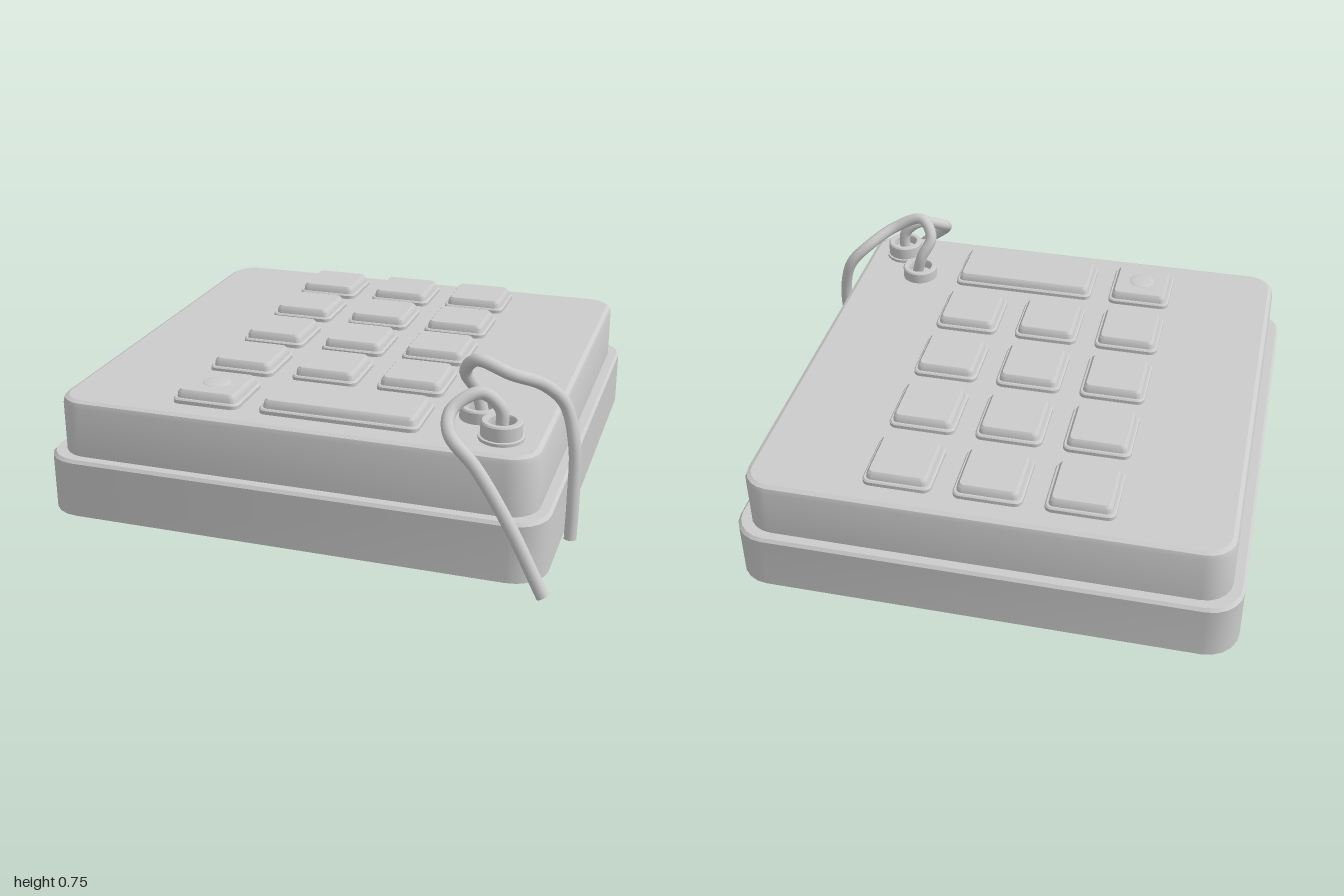
import * as THREE from 'three';
import { toCreasedNormals } from 'three/addons/utils/BufferGeometryUtils.js';

const material = new THREE.MeshStandardMaterial({ color: 0xcccccc, side: THREE.DoubleSide });

// Rounded rectangle outline, counter-clockwise
function outline(PathType, cx, cy, hw, hd, r, n = 5) {
  const pts = [];
  const corners = [[1, -1], [1, 1], [-1, 1], [-1, -1]];
  corners.forEach(([sx, sy], c) => {
    for (let i = 0; i <= n; i++) {
      const a = (c - 1 + i / n) * Math.PI / 2;
      pts.push(new THREE.Vector2(
        cx + sx * (hw - r) + r * Math.cos(a),
        cy + sy * (hd - r) + r * Math.sin(a)));
    }
  });
  return new PathType(pts);
}

// Skin through rounded rectangles; each ring is [inset, y, corner radius]
function loft(hw, hd, rings, capped) {
  const pos = [], idx = [];
  let n = 0;
  for (const [inset, y, r] of rings) {
    const pts = outline(THREE.Path, 0, 0, hw - inset, hd - inset, r).getPoints();
    n = pts.length;
    pts.forEach(p => pos.push(p.x, y, -p.y));
  }
  for (let k = 0; k < rings.length - 1; k++) {
    for (let i = 0; i < n; i++) {
      const j = (i + 1) % n, a = k * n, b = a + n;
      idx.push(a + i, a + j, b + j, a + i, b + j, b + i);
    }
  }
  if (capped) {
    const last = (rings.length - 1) * n;
    pos.push(0, rings[rings.length - 1][1], 0);
    for (let i = 0; i < n; i++) idx.push(last + i, last + (i + 1) % n, rings.length * n);
  }
  const g = new THREE.BufferGeometry();
  g.setAttribute('position', new THREE.Float32BufferAttribute(pos, 3));
  g.setIndex(idx);
  return toCreasedNormals(g, 0.6);
}

function add(parent, name, geometry, x = 0, y = 0, z = 0) {
  const mesh = new THREE.Mesh(geometry, material);
  mesh.name = name;
  mesh.position.set(x, y, z);
  parent.add(mesh);
  return mesh;
}

export function createModel() {
  const model = new THREE.Group();
  model.name = 'keypad';
  const C = -0.03; // centre of the case in x and z

  // Key layout: a 3 x 4 grid, a square key and a wide key in front
  const keys = [];
  for (const z of [-0.725, -0.38, -0.035, 0.31]) {
    for (const x of [-0.38, -0.035, 0.31]) keys.push({ name: 'key', x, z, hw: 0.132 });
  }
  keys.push({ name: 'domedKey', x: -0.38, z: 0.66, hw: 0.132 });
  keys.push({ name: 'wideKey', x: 0.138, z: 0.66, hw: 0.305 });

  // Stepped case, open underneath
  add(model, 'caseWalls', loft(0.97, 0.97, [
    [0, 0.03, 0.13], [0, 0.25, 0.13], [0.01, 0.262, 0.125], [0.045, 0.262, 0.11],
    [0.045, 0.46, 0.11], [0.051, 0.478, 0.105], [0.067, 0.486, 0.09],
  ], false), C, 0, C);

  // Top panel with an opening under each key
  const panel = outline(THREE.Shape, C, -C, 0.903, 0.903, 0.09);
  for (const k of keys) panel.holes.push(outline(THREE.Path, k.x, -k.z, k.hw - 0.01, 0.122, 0.02));
  add(model, 'topPanel', new THREE.ShapeGeometry(panel).rotateX(-Math.PI / 2), 0, 0.486, 0);

  // Hollow keys with a collar and a bevelled cap
  for (const k of keys) {
    add(model, k.name, loft(k.hw, 0.132, [
      [0.01, 0.28, 0.02], [0.01, 0.486, 0.02], [0, 0.486, 0.03], [0, 0.5, 0.03],
      [0.005, 0.505, 0.028], [0.013, 0.505, 0.022], [0.016, 0.525, 0.022],
      [0.025, 0.536, 0.018],
    ], true), k.x, 0, k.z);
  }
  const dome = new THREE.SphereGeometry(0.055, 24, 6, 0, Math.PI * 2, 0, Math.PI / 2);
  add(model, 'keyDome', dome.scale(1, 0.12, 1), -0.38, 0.535, 0.66);

  // Board under the keys
  add(model, 'board', new THREE.BoxGeometry(0.92, 0.03, 0.92), -0.025, 0.265, -0.02);

  // Cable sockets: a ring with a recessed floor
  const socket = [[0.083, 0], [0.083, 0.012], [0.075, 0.014], [0.075, 0.064], [0.07, 0.07],
    [0.054, 0.07], [0.05, 0.064], [0.05, 0.03], [0, 0.03]].map(p => new THREE.Vector2(...p));
  const socketGeometry = toCreasedNormals(new THREE.LatheGeometry(socket, 28), 0.6);
  add(model, 'rearSocket', socketGeometry, 0.62, 0.465, 0.575);
  add(model, 'frontSocket', socketGeometry, 0.735, 0.486, 0.735);

  // Cables looping up and hanging over the case
  const cables = {
    rearCable: [[0.635, 0.49, 0.575], [0.605, 0.59, 0.57], [0.57, 0.67, 0.605], [0.62, 0.735, 0.645],
      [0.74, 0.69, 0.63], [0.85, 0.625, 0.54], [0.92, 0.55, 0.51], [0.965, 0.4, 0.53],
      [0.975, 0.2, 0.56], [0.975, 0.045, 0.575]],
    frontCable: [[0.735, 0.5, 0.735], [0.73, 0.6, 0.735], [0.66, 0.655, 0.75], [0.575, 0.61, 0.82],
      [0.585, 0.55, 0.895], [0.69, 0.45, 0.93], [0.82, 0.26, 0.955], [0.95, 0.02, 0.975]],
  };
  for (const [name, pts] of Object.entries(cables)) {
    const curve = new THREE.CatmullRomCurve3(pts.map(p => new THREE.Vector3(...p)));
    add(model, name, new THREE.TubeGeometry(curve, 80, 0.024, 12));
    const end = add(model, name + 'End', new THREE.CircleGeometry(0.024, 12));
    end.position.copy(curve.getPoint(1));
    end.lookAt(curve.getPoint(1).add(curve.getTangent(1)));
  }
  return model;
}
